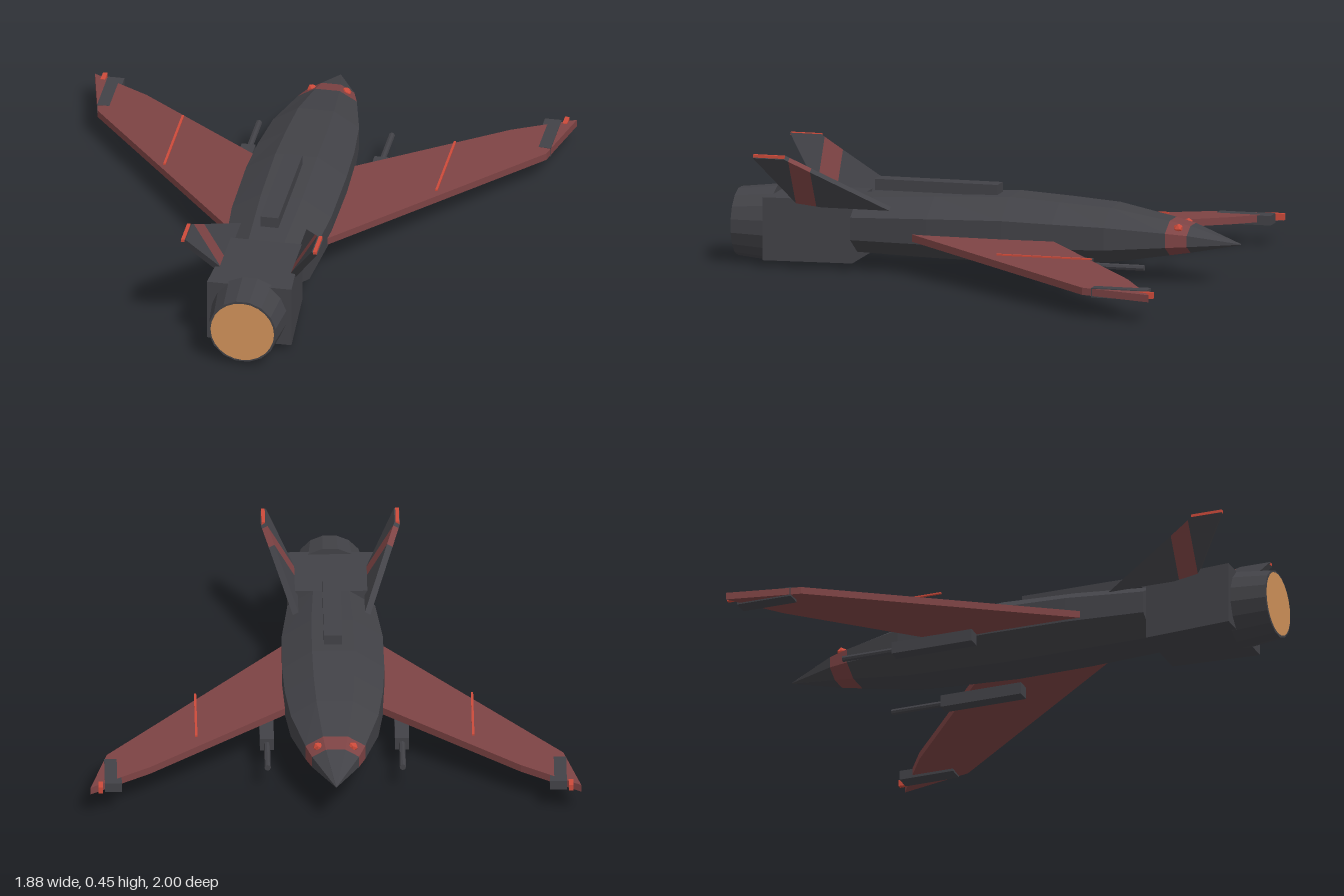
import * as THREE from 'three';

const mat = (name, color, extra = {}) => {
  const m = new THREE.MeshStandardMaterial({ color, flatShading: true, ...extra });
  m.name = name;
  return m;
};

const geometryFrom = (points) => {
  const g = new THREE.BufferGeometry();
  g.setAttribute('position', new THREE.Float32BufferAttribute(points.flat(), 3));
  g.computeVertexNormals();
  return g;
};

// Closed hull through n-sided rings; each station is [z, half width, top y, bottom y]
function loft(stations, n) {
  const k = 1 / Math.cos(Math.PI / n);
  const rings = stations.map(([z, w, top, bottom]) =>
    Array.from({ length: n }, (_, i) => {
      const a = ((i + 0.5) / n) * Math.PI * 2;
      return [w * k * Math.cos(a), (top + bottom) / 2 + ((top - bottom) / 2) * k * Math.sin(a), z];
    }));
  const p = [];
  for (let s = 0; s < rings.length - 1; s++) {
    for (let i = 0; i < n; i++) {
      const j = (i + 1) % n, a = rings[s], b = rings[s + 1];
      p.push(a[i], a[j], b[j], a[i], b[j], b[i]);
    }
  }
  const first = rings[0], last = rings[rings.length - 1];
  for (let i = 1; i < n - 1; i++) {
    p.push(first[0], first[i + 1], first[i], last[0], last[i], last[i + 1]);
  }
  return geometryFrom(p);
}

// Convex plate: a 3D outline thickened along a direction
function plate(outline, thickness) {
  const v = outline.map((q) => new THREE.Vector3(...q));
  const d = new THREE.Vector3(...thickness).multiplyScalar(0.5);
  const normal = v[1].clone().sub(v[0]).cross(v[2].clone().sub(v[0]));
  if (normal.dot(d) < 0) v.reverse();
  const up = v.map((q) => q.clone().add(d).toArray());
  const down = v.map((q) => q.clone().sub(d).toArray());
  const p = [];
  for (let i = 0; i < v.length; i++) {
    const j = (i + 1) % v.length;
    p.push(down[i], down[j], up[j], down[i], up[j], up[i]);
    if (i > 0 && j > 0) p.push(up[0], up[i], up[j], down[0], down[j], down[i]);
  }
  return geometryFrom(p);
}

export function createModel() {
  const model = new THREE.Group();
  model.name = 'jet';
  const hull = mat('dark hull grey', 0x424247);
  const wingRed = mat('muted wing red', 0x7d4344);
  const accent = mat('bright red accent', 0xcc4a3a);
  const glow = mat('engine glow orange', 0xd2935a);

  const add = (name, geometry, material, parent = model) => {
    const mesh = new THREE.Mesh(geometry, material);
    mesh.name = name;
    parent.add(mesh);
    return mesh;
  };
  // Box given by its minimum and maximum corners
  const box = (name, lo, hi, material, parent) => {
    const size = hi.map((h, i) => Math.abs(h - lo[i]));
    add(name, new THREE.BoxGeometry(...size), material, parent)
      .position.set(...hi.map((h, i) => (h + lo[i]) / 2));
  };

  // Fuselage with a painted nose band
  const bandFront = [-0.81, 0.09, 0.224, 0.12];
  const bandRear = [-0.73, 0.115, 0.242, 0.108];
  add('noseCone', loft([[-1, 0.002, 0.157, 0.153], bandFront], 8), hull);
  add('noseBand', loft([bandFront, bandRear], 8), wingRed);
  add('fuselage', loft([bandRear, [-0.5, 0.168, 0.285, 0.073], [-0.3, 0.188, 0.298, 0.064],
    [-0.1, 0.196, 0.309, 0.055], [0.2, 0.194, 0.297, 0.057], [0.51, 0.168, 0.275, 0.064]], 8), hull);
  box('dorsalSpine', [-0.035, 0.302, -0.04], [0.035, 0.345, 0.45], hull);

  // Engine housing, nozzle and glowing exhaust
  add('engineHousing', loft([[0.51, 0.14, 0.275, 0.03], [0.86, 0.165, 0.275, 0.03]], 4), hull);
  add('nozzle', loft([[0.84, 0.147, 0.298, 0.004], [0.998, 0.13, 0.28, 0.02]], 16), hull);
  add('exhaustGlow', new THREE.CircleGeometry(0.124, 24), glow).position.set(0, 0.15, 1);

  // Swept wing outline, drooping towards the tip
  const wingY = (x) => 0.15 - (x - 0.19) * 0.068;
  const wingOutline = [[0.16, -0.285], [0.71, -0.755], [0.94, -0.905], [0.875, -0.62], [0.16, 0.295]];

  // Canted tail fin as z, y panels
  const finPanels = [
    ['finFront', [[0.36, 0.25], [0.65, 0.4], [0.65, 0.25]], hull],
    ['finBand', [[0.65, 0.25], [0.65, 0.4], [0.73, 0.442], [0.73, 0.263], [0.72, 0.25]], wingRed],
    ['finRear', [[0.73, 0.263], [0.73, 0.442], [0.745, 0.45], [0.87, 0.45]], hull],
  ];

  for (const [side, s] of [['left', 1], ['right', -1]]) {
    const wing = new THREE.Group();
    wing.name = side + 'Wing';
    model.add(wing);
    add('wingPanel', plate(wingOutline.map(([x, z]) => [s * x, wingY(x), z]), [0, 0.028, 0]), wingRed, wing);
    box('wingStripe', [s * 0.526, 0.163, -0.56], [s * 0.535, 0.169, -0.18], accent, wing);
    box('wingtipPod', [s * 0.82, 0.083, -0.88], [s * 0.885, 0.12, -0.66], hull, wing);
    box('wingtipLight', [s * 0.892, 0.093, -0.912], [s * 0.91, 0.118, -0.86], accent, wing);

    // Gun under the wing root
    const gun = new THREE.Group();
    gun.name = side + 'Gun';
    model.add(gun);
    box('gunHousing', [s * 0.232, 0.068, -0.48], [s * 0.286, 0.116, -0.15], hull, gun);
    const barrel = add('gunBarrel', new THREE.CylinderGeometry(0.012, 0.012, 0.23, 8), hull, gun);
    barrel.rotation.x = Math.PI / 2;
    barrel.position.set(s * 0.259, 0.092, -0.575);

    // Tail fin
    const fin = new THREE.Group();
    fin.name = side + 'TailFin';
    model.add(fin);
    for (const [name, pts, material] of finPanels) {
      const outline = pts.map(([z, y]) => [s * (0.138 + (y - 0.25) * 0.59), y, z]);
      add(name, plate(outline, [s * 0.021, -0.012, 0]), material, fin);
    }
    box('finTipLight', [s * 0.25, 0.446, 0.745], [s * 0.264, 0.457, 0.87], accent, fin);

    // Sensor eye on the nose band
    const eye = add(side + 'SensorEye', new THREE.IcosahedronGeometry(0.02, 0), accent);
    eye.position.set(s * 0.067, 0.217, -0.77);
  }
  return model;
}
